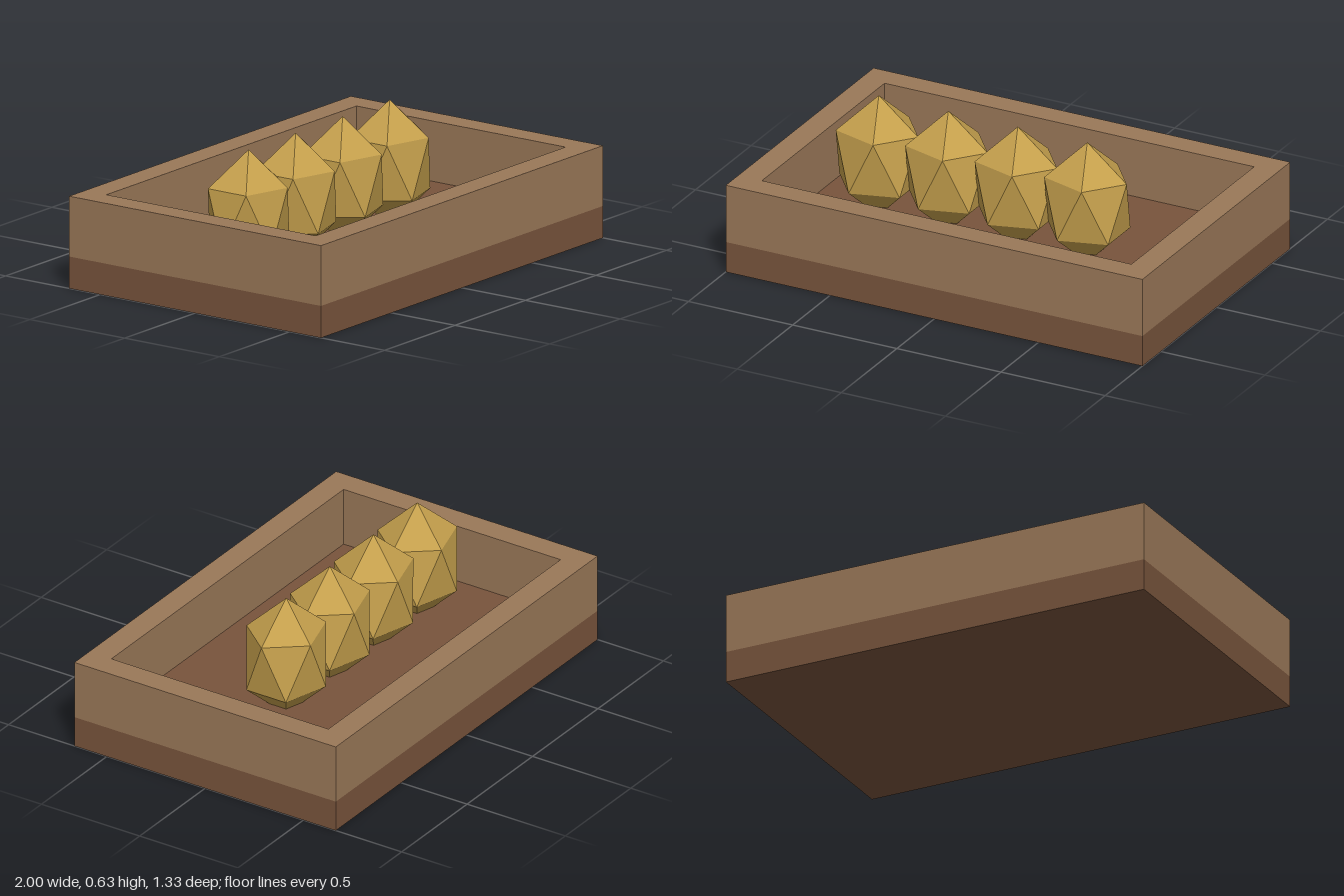
import * as THREE from 'three';

export function createModel() {
  const model = new THREE.Group();
  const frameWood = new THREE.MeshStandardMaterial({ color: 0x9a7858 });
  frameWood.name = 'lightWood';
  const baseWood = new THREE.MeshStandardMaterial({ color: 0x78543c });
  baseWood.name = 'darkWood';
  const gold = new THREE.MeshStandardMaterial({ color: 0xc49f4c, flatShading: true });
  gold.name = 'gold';

  const add = (name, geometry, material, x, y, z) => {
    const mesh = new THREE.Mesh(geometry, material);
    mesh.name = name;
    mesh.position.set(x, y, z);
    model.add(mesh);
  };

  const halfX = 1, halfZ = 0.665, wall = 0.113, baseTop = 0.14, rimTop = 0.405;

  // Solid tray floor
  add('trayBase', new THREE.BoxGeometry(halfX * 2, baseTop, halfZ * 2), baseWood, 0, baseTop / 2, 0);

  // Rectangular wall frame standing on the floor
  const rectangle = (target, w, d) =>
    target.moveTo(-w, -d).lineTo(w, -d).lineTo(w, d).lineTo(-w, d).closePath();
  const outline = rectangle(new THREE.Shape(), halfX, halfZ);
  outline.holes.push(rectangle(new THREE.Path(), halfX - wall, halfZ - wall));
  const frame = new THREE.ExtrudeGeometry(outline, { depth: rimTop - baseTop, bevelEnabled: false });
  frame.rotateX(-Math.PI / 2);
  add('trayWalls', frame, frameWood, 0, baseTop, 0);

  // Row of stretched icosahedra, each with one corner pointing straight up
  const nugget = new THREE.IcosahedronGeometry(1, 0);
  nugget.rotateZ(-Math.atan(2 / (1 + Math.sqrt(5))));
  nugget.scale(0.212, 0.28, 0.191);
  for (let i = 0; i < 4; i++) {
    add('nugget' + (i + 1), nugget, gold, -0.62 + i * 0.3335, 0.355, 0);
  }

  return model;
}
